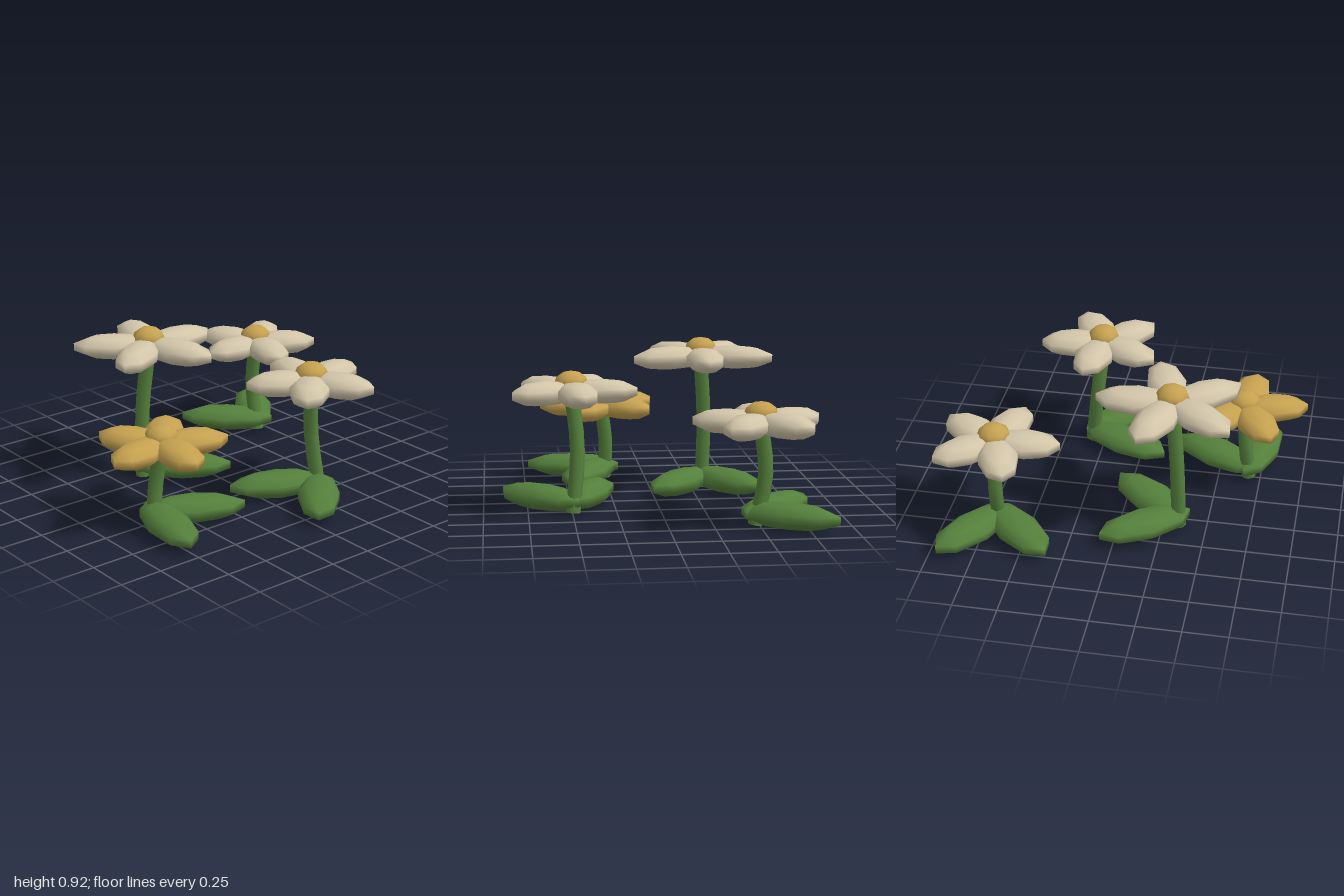
import * as THREE from 'three';

const green = new THREE.MeshStandardMaterial({ color: 0x55803c });
green.name = 'leaf green';
const cream = new THREE.MeshStandardMaterial({ color: 0xd3c6aa });
cream.name = 'petal cream';
const gold = new THREE.MeshStandardMaterial({ color: 0xc6a250 });
gold.name = 'petal gold';

const blobGeo = new THREE.SphereGeometry(1, 8, 5);

// Faceted ellipsoid lying flat, pointing outward at an angle (degrees, seen from above)
function blade(name, material, angle, offset, length, width, height, y) {
  const a = THREE.MathUtils.degToRad(angle);
  const mesh = new THREE.Mesh(blobGeo, material);
  mesh.name = name;
  mesh.scale.set(length, height, width);
  mesh.rotation.y = a;
  mesh.position.set(Math.cos(a) * offset, y, -Math.sin(a) * offset);
  return mesh;
}

// Curved stem with a closed foot
function makeStem(points) {
  const group = new THREE.Group();
  group.name = 'stem';
  const curve = new THREE.CatmullRomCurve3(points.map(p => new THREE.Vector3(...p)));
  const tube = new THREE.Mesh(new THREE.TubeGeometry(curve, 6, 0.042, 8, false), green);
  tube.name = 'stemTube';
  const foot = new THREE.Mesh(new THREE.CircleGeometry(0.042, 8), green);
  foot.name = 'stemFoot';
  foot.position.copy(curve.getPoint(0));
  foot.quaternion.setFromUnitVectors(new THREE.Vector3(0, 0, 1), curve.getTangent(0).negate());
  group.add(tube, foot);
  return group;
}

function makeFlower({ name, head, base, mid, petal, start, offset, length, leaves }) {
  const flower = new THREE.Group();
  flower.name = name;
  flower.add(makeStem([base, mid, head]));

  // Five petals around a domed centre
  const bloom = new THREE.Group();
  bloom.name = 'bloom';
  bloom.position.set(...head);
  for (let i = 0; i < 5; i++) {
    bloom.add(blade('petal', petal, start + i * 72, offset, length, 0.116, 0.07, 0));
  }
  const centre = new THREE.Mesh(new THREE.SphereGeometry(1, 8, 6), gold);
  centre.name = 'flowerCentre';
  centre.scale.set(0.095, 0.07, 0.095);
  centre.position.y = 0.045;
  bloom.add(centre);
  flower.add(bloom);

  // Two leaves at the foot; each is [angle, reach]
  const foliage = new THREE.Group();
  foliage.name = 'leaves';
  foliage.position.set(base[0], 0, base[2]);
  for (const [angle, reach] of leaves) {
    foliage.add(blade('leaf', green, angle, reach - 0.285, 0.3, 0.123, 0.073, 0.077));
  }
  flower.add(foliage);
  return flower;
}

export function createModel() {
  const model = new THREE.Group();
  model.name = 'flowerPatch';
  const flowers = [
    { name: 'tallFlower', head: [-0.29, 0.81, -0.3], base: [-0.34, 0.01, -0.315], mid: [-0.325, 0.43, -0.325],
      petal: cream, start: 0, offset: 0.2, length: 0.243, leaves: [[35, 0.5], [-39, 0.52]] },
    { name: 'frontFlower', head: [0.25, 0.695, 0.5], base: [0.325, 0.015, 0.5], mid: [0.285, 0.37, 0.47],
      petal: cream, start: 9, offset: 0.175, length: 0.207, leaves: [[156, 0.53], [228, 0.52]] },
    { name: 'backFlower', head: [0.68, 0.575, -0.5], base: [0.68, 0.01, -0.475], mid: [0.68, 0.29, -0.53],
      petal: cream, start: 39, offset: 0.175, length: 0.207, leaves: [[58, 0.49], [136, 0.48]] },
    { name: 'goldFlower', head: [-0.635, 0.467, 0.275], base: [-0.68, 0.01, 0.255], mid: [-0.655, 0.23, 0.245],
      petal: gold, start: 48, offset: 0.175, length: 0.21, leaves: [[258, 0.48], [-28, 0.515]] },
  ];
  for (const f of flowers) model.add(makeFlower(f));
  return model;
}
